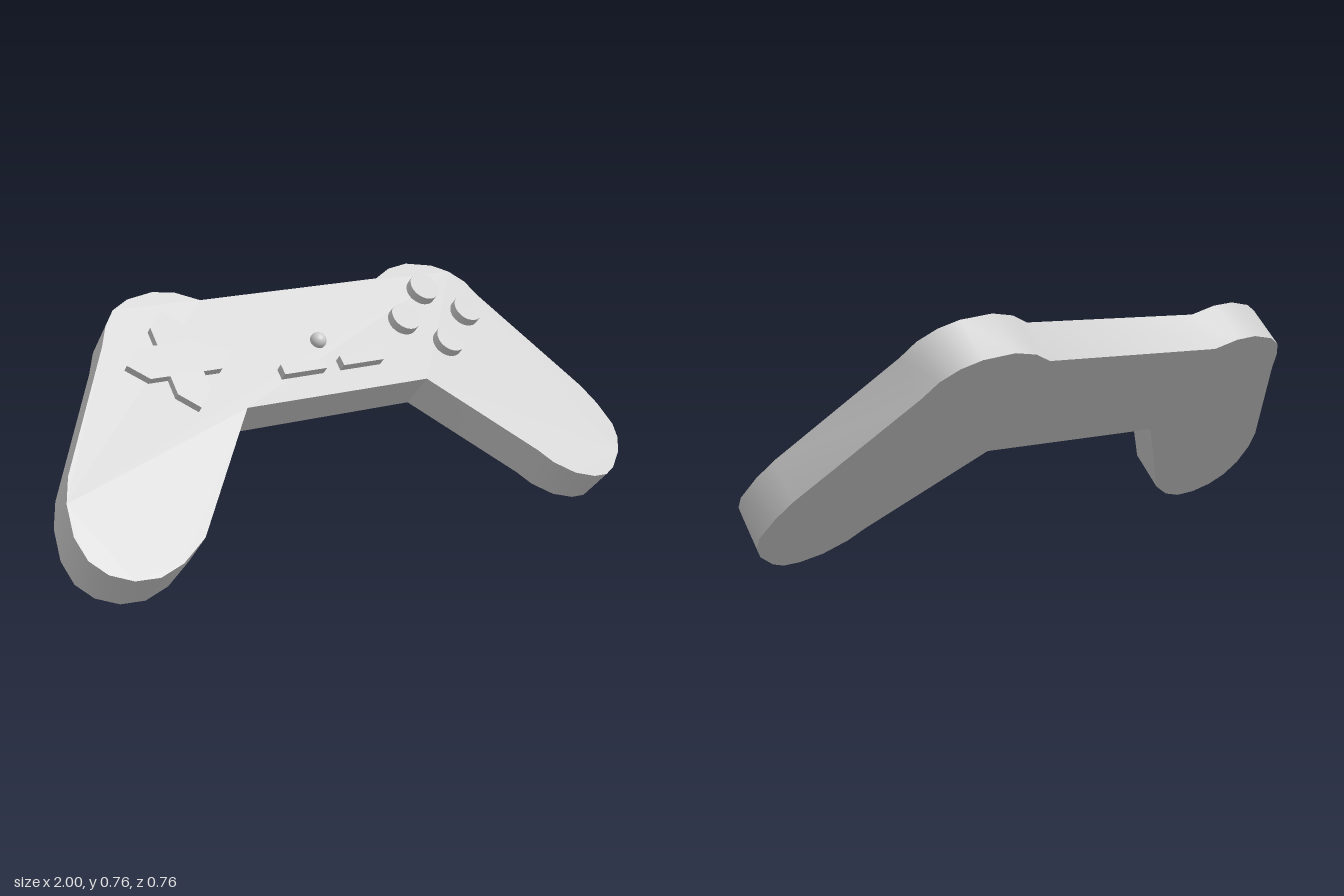
import * as THREE from 'three';
import { toCreasedNormals } from 'three/addons/utils/BufferGeometryUtils.js';

const TILT = Math.PI / 4;
const HALF = 0.073; // half thickness of the body
const CENTRE = 0.382; // height of the body's middle plane

export function createModel() {
  const model = new THREE.Group();
  model.name = 'gamepad';
  const pad = new THREE.Group();
  pad.name = 'tiltedPad';
  pad.rotation.x = -TILT;
  pad.position.y = CENTRE;
  model.add(pad);

  const material = new THREE.MeshStandardMaterial({ color: 0xcccccc });
  const add = (name, geometry, x = 0, y = 0, z = 0) => {
    const mesh = new THREE.Mesh(geometry, material);
    mesh.name = name;
    mesh.position.set(x, y, z);
    pad.add(mesh);
    return mesh;
  };
  const extrude = (points, depth) => toCreasedNormals(
    new THREE.ExtrudeGeometry(
      new THREE.Shape(points.map(([x, y]) => new THREE.Vector2(x, y))),
      { depth, bevelEnabled: false }
    ), 0.6);

  // Body: one outline of shoulders, grips and bridge; heights are those of the
  // tilted front face, unfolded here into the plane of the pad
  const rightGrip = [
    [-0.336, 0.441], [-0.634, 0.171], [-0.725, 0.128], [-0.805, 0.11], [-0.88, 0.115],
    [-0.944, 0.139], [-0.985, 0.176], [-1, 0.23], [-0.987, 0.3], [-0.955, 0.358],
    [-0.714, 0.638], [-0.676, 0.69], [-0.634, 0.727], [-0.575, 0.75], [-0.484, 0.762],
    [-0.41, 0.754], [-0.336, 0.727]
  ];
  const leftGrip = [
    [0.345, 0.731], [0.415, 0.755], [0.495, 0.764], [0.596, 0.75], [0.655, 0.727],
    [0.7, 0.692], [0.725, 0.647], [0.955, 0.348], [0.983, 0.294], [1, 0.23],
    [0.99, 0.195], [0.96, 0.158], [0.9, 0.12], [0.858, 0.107], [0.805, 0.109],
    [0.735, 0.128], [0.67, 0.166], [0.634, 0.203], [0.345, 0.439]
  ];
  const cos = Math.cos(TILT);
  const unfold = ([x, y]) => [x, (y - CENTRE - HALF * cos) / cos];
  // Clockwise list, reversed to run counter-clockwise
  const outline = [...rightGrip, ...leftGrip].map(unfold).reverse();
  add('body', extrude(outline, HALF * 2), 0, 0, -HALF);

  // Direction pad: four pointed arms
  const w = 0.056, shoulder = 0.12, tip = 0.177;
  const cross = [];
  for (let i = 0; i < 4; i++) {
    const c = Math.round(Math.cos(i * Math.PI / 2));
    const s = Math.round(Math.sin(i * Math.PI / 2));
    for (const [x, y] of [[w, -w], [shoulder, -w], [tip, 0], [shoulder, w]]) {
      cross.push([x * c - y * s, x * s + y * c]);
    }
  }
  add('directionPad', extrude(cross, 0.036), -0.497, 0.2, HALF - 0.01);

  // Four round action buttons in a diamond
  const button = new THREE.CylinderGeometry(0.053, 0.053, 0.044, 32).rotateX(Math.PI / 2);
  const spots = { top: [0, 0.108], bottom: [0, -0.108], inner: [-0.133, 0], outer: [0.133, 0] };
  for (const [name, [x, y]] of Object.entries(spots)) {
    add(name + 'Button', button, 0.495 + x, 0.237 + y, HALF + 0.011);
  }

  // Two menu bars and the small domed button above them
  const bar = new THREE.BoxGeometry(0.155, 0.037, 0.04);
  add('rightMenuBar', bar, -0.102, 0.107, HALF + 0.01);
  add('leftMenuBar', bar, 0.118, 0.107, HALF + 0.01);
  add('centreDome', new THREE.SphereGeometry(0.027, 24, 16), 0.008, 0.207, HALF + 0.005);

  return model;
}
